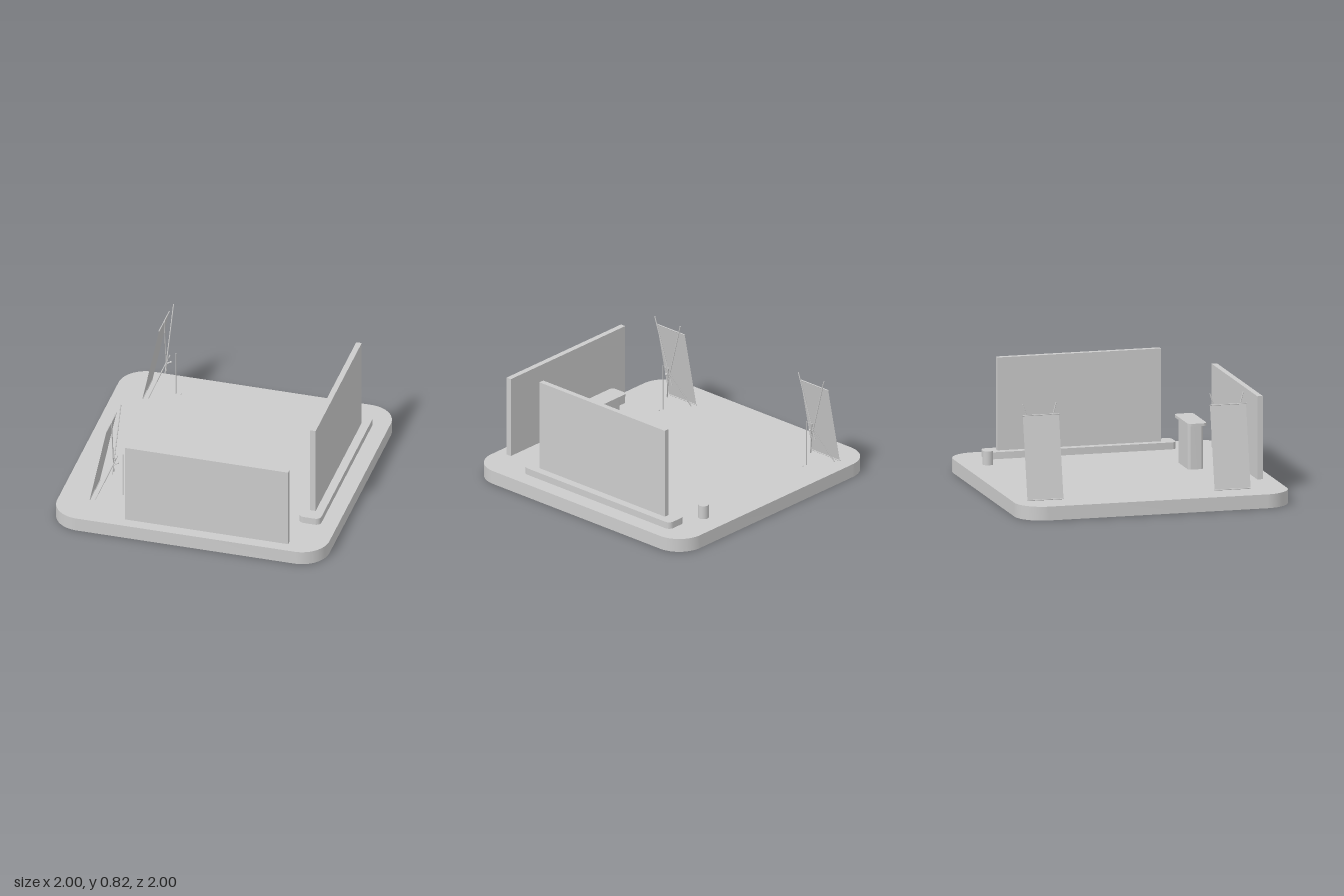
import * as THREE from 'three';
import { toCreasedNormals } from 'three/addons/utils/BufferGeometryUtils.js';

const grey = new THREE.MeshStandardMaterial({ color: 0xcccccc });
const sheet = new THREE.MeshStandardMaterial({ color: 0xcccccc, side: THREE.DoubleSide });

function add(parent, name, geometry, x = 0, y = 0, z = 0, material = grey) {
  const mesh = new THREE.Mesh(geometry, material);
  mesh.name = name;
  mesh.position.set(x, y, z);
  parent.add(mesh);
  return mesh;
}

// Upright slab with a rounded-rectangle footprint, its underside at y = 0
function slab(w, h, d, r) {
  const a = w / 2, b = d / 2;
  const s = new THREE.Shape();
  s.moveTo(-a + r, -b);
  s.lineTo(a - r, -b);
  s.absarc(a - r, -b + r, r, -Math.PI / 2, 0);
  s.lineTo(a, b - r);
  s.absarc(a - r, b - r, r, 0, Math.PI / 2);
  s.lineTo(-a + r, b);
  s.absarc(-a + r, b - r, r, Math.PI / 2, Math.PI);
  s.lineTo(-a, -b + r);
  s.absarc(-a + r, -b + r, r, Math.PI, Math.PI * 1.5);
  const g = new THREE.ExtrudeGeometry(s, { depth: h, bevelEnabled: false, curveSegments: 16 });
  g.rotateX(-Math.PI / 2);
  return toCreasedNormals(g, 0.6);
}

// Thin round rod between two points
function rod(parent, name, from, to, r = 0.004) {
  const p = new THREE.Vector3(...from), q = new THREE.Vector3(...to);
  const dir = q.clone().sub(p);
  const mesh = add(parent, name, new THREE.CylinderGeometry(r, r, dir.length(), 10));
  mesh.position.copy(p).add(q).multiplyScalar(0.5);
  mesh.quaternion.setFromUnitVectors(new THREE.Vector3(0, 1, 0), dir.normalize());
}

// Leaning banner on crossed rods, with a support pole behind it
function bannerStand(z) {
  const stand = new THREE.Group();
  stand.name = 'bannerStand';
  stand.position.z = z;

  const low = [-0.777, 0.105], high = [-0.655, 0.693];
  const length = Math.hypot(high[0] - low[0], high[1] - low[1]);
  const banner = add(stand, 'bannerSheet', new THREE.PlaneGeometry(0.265, length),
    (low[0] + high[0]) / 2, (low[1] + high[1]) / 2, 0, sheet);
  // tilt first, then turn the sheet to face along x
  banner.rotation.set(Math.atan2(high[0] - low[0], high[1] - low[1]), Math.PI / 2, 0, 'YXZ');
  for (const [x, y] of [low, high]) {
    rod(stand, 'bannerRail', [x, y, -0.135], [x, y, 0.135]);
  }

  // crossed arms above and legs below
  for (const s of [-1, 1]) {
    rod(stand, 'upperArm', [-0.62, 0.77, s * 0.122], [-0.643, 0.27, -s * 0.02]);
    rod(stand, 'lowerLeg', [-0.742, 0.1, s * 0.115], [-0.615, 0.41, -s * 0.014]);
    rod(stand, 'hubStrut', [-0.64, 0.34, s * 0.012], [-0.607, 0.36, 0], 0.003);
  }
  add(stand, 'hub', new THREE.SphereGeometry(0.009, 12, 8), -0.607, 0.36, 0);
  rod(stand, 'supportPole', [-0.57, 0.1, 0], [-0.57, 0.44, 0], 0.0035);
  add(stand, 'floorPeg', new THREE.SphereGeometry(0.006, 10, 8), -0.533, 0.105, 0);
  return stand;
}

export function createModel() {
  const model = new THREE.Group();
  model.name = 'exhibitionBooth';

  // Floor
  add(model, 'platform', slab(2, 0.1, 2, 0.2));

  // Walls
  add(model, 'frontWall', new THREE.BoxGeometry(1.2, 0.6, 0.04), 0.13, 0.4, 0.897);
  add(model, 'sidePlinth', slab(0.16, 0.05, 1.4, 0.04), 0.8, 0.1, -0.08);
  add(model, 'sideWall', new THREE.BoxGeometry(0.04, 0.67, 1.2), 0.8, 0.485, -0.08);

  // Reception counter
  const counter = new THREE.Group();
  counter.name = 'counter';
  counter.position.set(0.13, 0.1, 0.555);
  add(counter, 'counterBody', slab(0.28, 0.32, 0.11, 0.02));
  add(counter, 'counterTop', slab(0.38, 0.02, 0.14, 0.03), 0, 0.32, 0);
  model.add(counter);

  // Stool
  add(model, 'stool', new THREE.CylinderGeometry(0.038, 0.038, 0.1, 32), 0.56, 0.15, -0.813);

  // Banner stands
  for (const z of [-0.765, 0.609]) model.add(bannerStand(z));
  return model;
}
